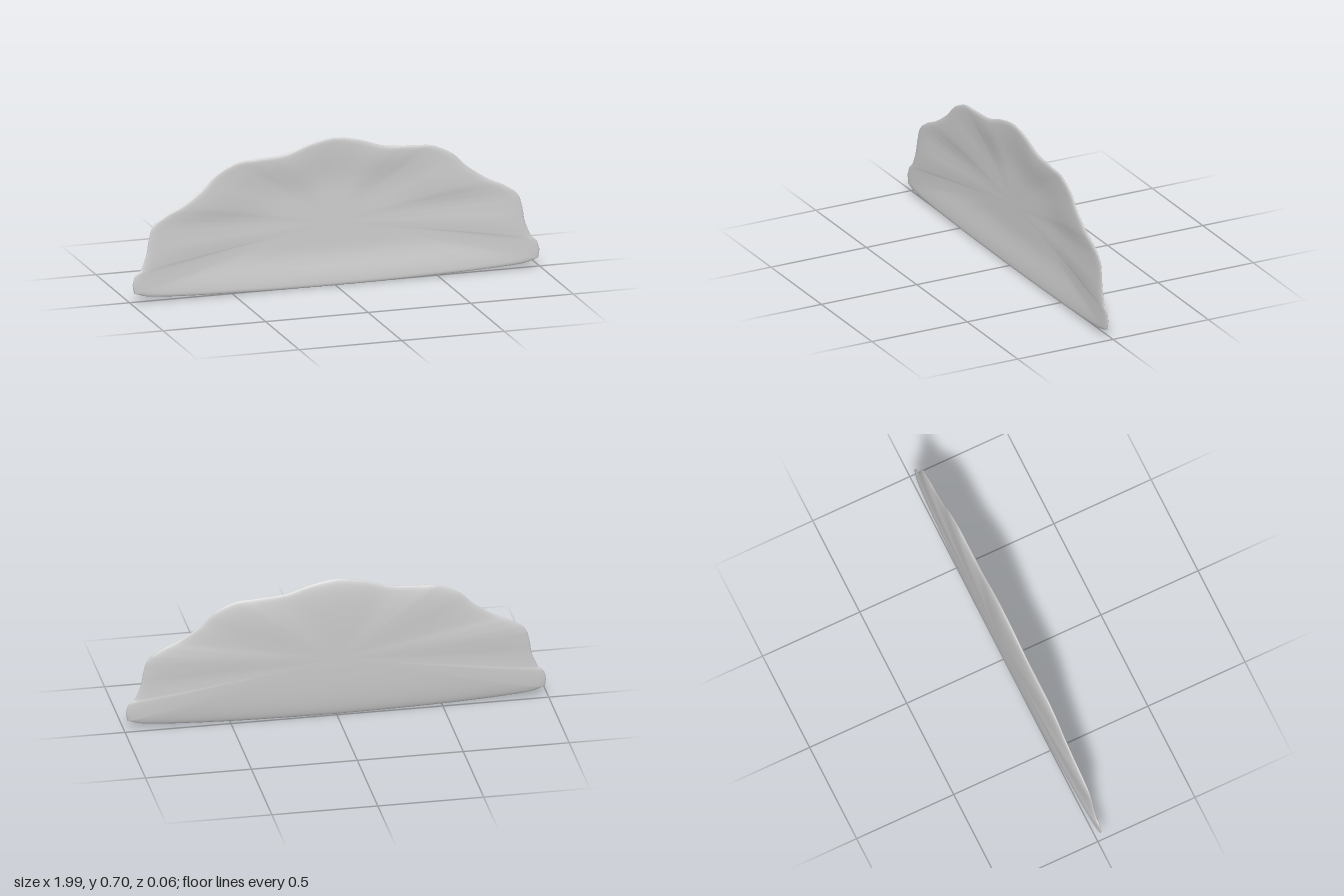
import * as THREE from 'three';

// Right half of the scalloped outline, top to bottom: x, y, lobe (1) or valley (-1)
const HALF = [
  [0, 0.705, 1], [0.1, 0.69, 0.5], [0.25, 0.645, -1], [0.38, 0.635, 0], [0.5, 0.62, 1],
  [0.56, 0.59, 0.8], [0.65, 0.51, -0.4], [0.73, 0.455, -1], [0.83, 0.405, 0.3], [0.89, 0.36, 1],
  [0.91, 0.3, 0.3], [0.925, 0.22, -1], [0.95, 0.16, -0.4], [0.99, 0.1, 0.5], [0.996, 0.068, 0.5],
  [0.96, 0.04, 0.3], [0.85, 0.022, 0], [0.55, 0.008, 0], [0, 0, 0],
];
const CENTER_Y = 0.3;
const SEGMENTS = 240;

// Slight backward lean, with the side tips curving forward
const midZ = (x, y) => 0.013 + 0.012 * x * x - 0.034 * y;

// Front: dished face inside a rounded lip
function frontOffset(s) {
  if (s > 0.95) return 0.007 * Math.sqrt(Math.max(0, 1 - ((s - 0.95) / 0.05) ** 2));
  return -0.011 + 0.018 * THREE.MathUtils.smoothstep(s, 0.4, 0.95);
}

// Back: shallow dome
const backOffset = (s) => -0.03 * Math.sqrt(Math.max(0, 1 - s ** 3));

function shellGeometry() {
  const mirrored = HALF.slice(1, -1).reverse().map(([x, y, r]) => [-x, y, r]);
  const points = [...HALF, ...mirrored].map((p) => new THREE.Vector3(...p));
  const outline = new THREE.CatmullRomCurve3(points, true).getSpacedPoints(SEGMENTS).slice(0, SEGMENTS);

  // Rings run from the front centre, over the rim, to the back centre
  const steps = [0.1, 0.2, 0.3, 0.4, 0.5, 0.6, 0.68, 0.75, 0.81, 0.86, 0.9, 0.93, 0.95, 0.965, 0.98, 0.99, 0.997];
  const rings = [
    ...steps.map((s) => [s, frontOffset]),
    [1, () => 0],
    ...steps.slice().reverse().map((s) => [s, backOffset]),
  ];

  const positions = [0, CENTER_Y, midZ(0, CENTER_Y) + frontOffset(0)];
  for (const [s, offset] of rings) {
    for (const p of outline) {
      const x = p.x * s;
      const y = CENTER_Y + (p.y - CENTER_Y) * s;
      const rib = -0.004 * p.z * s * s * (1 - s ** 6); // soft radial flutes
      positions.push(x, y, midZ(x, y) + offset(s) + rib);
    }
  }
  positions.push(0, CENTER_Y, midZ(0, CENTER_Y) + backOffset(0));

  const index = [];
  const at = (ring, i) => 1 + ring * SEGMENTS + (i % SEGMENTS);
  const last = rings.length - 1;
  const backPole = positions.length / 3 - 1;
  for (let i = 0; i < SEGMENTS; i++) {
    index.push(0, at(0, i + 1), at(0, i));
    for (let r = 0; r < last; r++) {
      index.push(at(r, i), at(r, i + 1), at(r + 1, i));
      index.push(at(r, i + 1), at(r + 1, i + 1), at(r + 1, i));
    }
    index.push(backPole, at(last, i), at(last, i + 1));
  }

  const geometry = new THREE.BufferGeometry();
  geometry.setAttribute('position', new THREE.Float32BufferAttribute(positions, 3));
  geometry.setIndex(index);
  geometry.computeVertexNormals();
  return geometry;
}

export function createModel() {
  const group = new THREE.Group();
  group.name = 'scallopedPanel';
  const lightGrey = new THREE.MeshStandardMaterial({ color: 0xcccccc });
  lightGrey.name = 'lightGrey';
  const panel = new THREE.Mesh(shellGeometry(), lightGrey);
  panel.name = 'panel';
  group.add(panel);
  return group;
}
